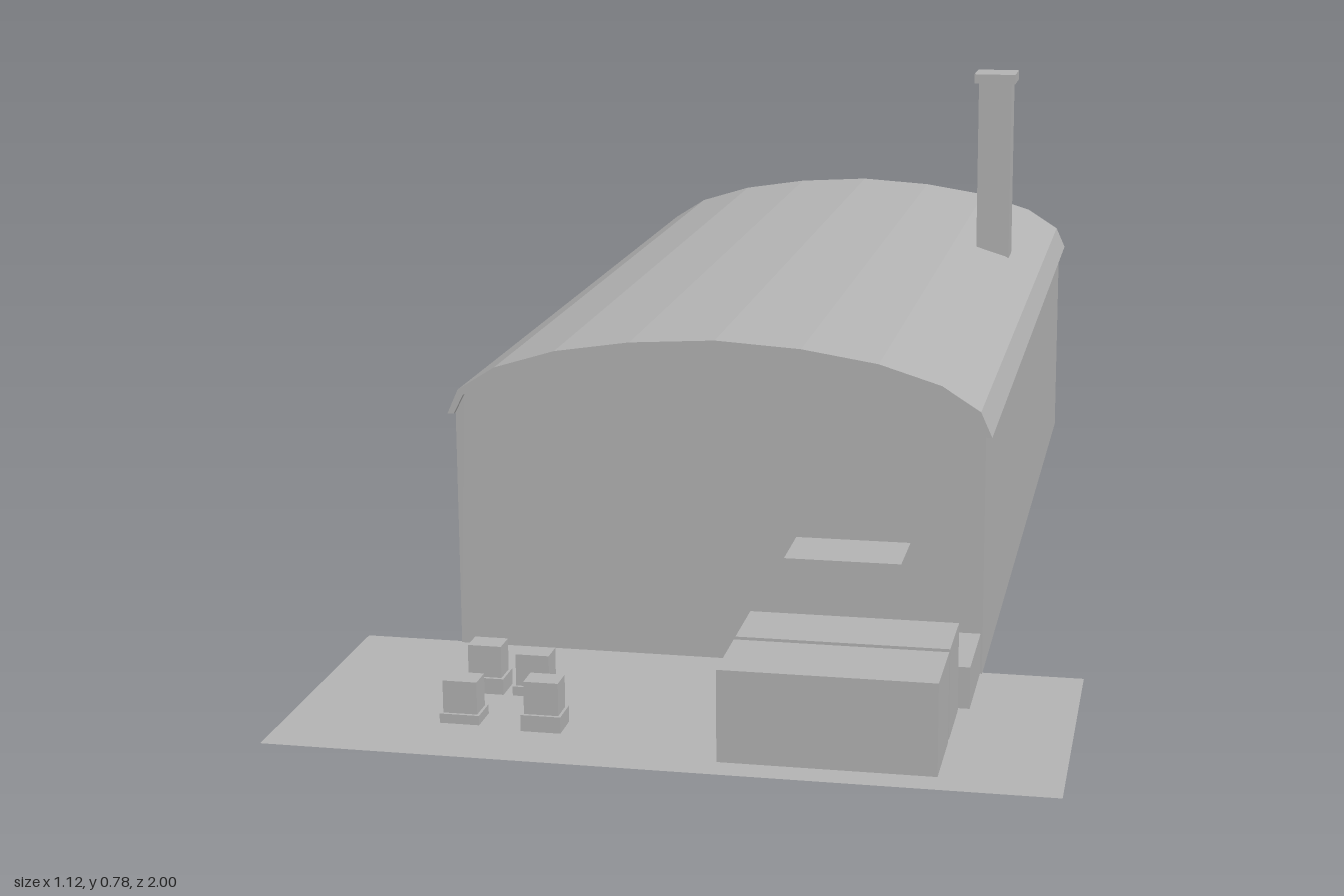
import * as THREE from 'three';

export function createModel() {
  const model = new THREE.Group();
  const grey = new THREE.MeshStandardMaterial({ color: 0xb4b4b4, side: THREE.DoubleSide });
  grey.name = 'plain grey';

  function add(name, geometry, x = 0, y = 0, z = 0, parent = model) {
    const mesh = new THREE.Mesh(geometry, grey);
    mesh.name = name;
    mesh.position.set(x, y, z);
    parent.add(mesh);
    return mesh;
  }
  // Box given by its extents on each axis
  function block(name, x0, x1, y0, y1, z0, z1, parent = model) {
    return add(name, new THREE.BoxGeometry(x1 - x0, y1 - y0, z1 - z0),
      (x0 + x1) / 2, (y0 + y1) / 2, (z0 + z1) / 2, parent);
  }
  // Horizontal sheet
  function sheet(name, x0, x1, y, z0, z1) {
    const geometry = new THREE.PlaneGeometry(x1 - x0, z1 - z0).rotateX(-Math.PI / 2);
    return add(name, geometry, (x0 + x1) / 2, y, (z0 + z1) / 2);
  }

  // Right half of the roof arch, eave to ridge, then mirrored
  const half = [[0.415, 0.37], [0.398, 0.408], [0.34, 0.445], [0.246, 0.474], [0.13, 0.492], [0, 0.5]];
  const mirrored = (points) => [
    ...points, ...points.slice(0, -1).reverse().map(([x, y]) => [-x, y])
  ].map(([x, y]) => new THREE.Vector2(x, y));
  const outer = mirrored(half);
  const inner = mirrored([[0.405, 0.37], [0.39, 0.4], [0.336, 0.435], [0.243, 0.464], [0.128, 0.482], [0, 0.49]]);

  // Thin arched roof overhanging the walls
  const roofShape = new THREE.Shape([...outer, ...inner.slice().reverse()]);
  const roofGeometry = new THREE.ExtrudeGeometry(roofShape, { depth: 1.555, bevelEnabled: false });
  add('roof', roofGeometry, -0.002, 0, -1);

  // Open-bottomed hall: two arched end walls and two side walls
  const gable = new THREE.Shape([
    new THREE.Vector2(-0.405, 0), new THREE.Vector2(0.405, 0), ...inner
  ]);
  add('frontWall', new THREE.ShapeGeometry(gable), -0.002, 0, 0.545);
  add('backWall', new THREE.ShapeGeometry(gable).rotateY(Math.PI), -0.002, 0, -0.98);
  for (const side of [-1, 1]) {
    const wall = new THREE.PlaneGeometry(1.525, 0.372).rotateY(side * Math.PI / 2);
    add(side > 0 ? 'leftWall' : 'rightWall', wall, side * 0.405 - 0.002, 0.186, -0.2175);
  }

  // Chimney with cap
  const chimney = new THREE.Group();
  chimney.name = 'chimney';
  model.add(chimney);
  block('chimneyStack', 0.283, 0.343, 0.37, 0.766, -0.537, -0.477, chimney);
  block('chimneyCap', 0.275, 0.35, 0.766, 0.783, -0.547, -0.47, chimney);

  // Forecourt and serving shelf
  sheet('forecourt', -0.56, 0.555, 0.001, 0.54, 1);
  sheet('shelf', 0.12, 0.293, 0.2, 0.545, 0.652);

  // Large crates and low steps by the front wall
  block('frontCrate', 0.08, 0.384, 0.001, 0.134, 0.83, 0.956);
  block('rearCrate', 0.08, 0.384, 0.001, 0.134, 0.705, 0.818);
  block('platform', 0.11, 0.4, 0.001, 0.064, 0.545, 0.694);
  block('step', 0.05, 0.11, 0.001, 0.025, 0.602, 0.69);

  // Small boxes on pallets: centre x, centre z, top height
  const stacks = [[-0.308, 0.733, 0.073], [-0.236, 0.733, 0.063], [-0.308, 0.857, 0.063], [-0.186, 0.868, 0.073]];
  for (const [x, z, top] of stacks) {
    const stack = new THREE.Group();
    stack.name = 'palletStack';
    model.add(stack);
    const base = top - 0.048;
    block('pallet', x - 0.029, x + 0.029, 0.001, base, z - 0.024, z + 0.024, stack);
    block('smallBox', x - 0.025, x + 0.025, base, top, z - 0.019, z + 0.019, stack);
  }
  return model;
}
